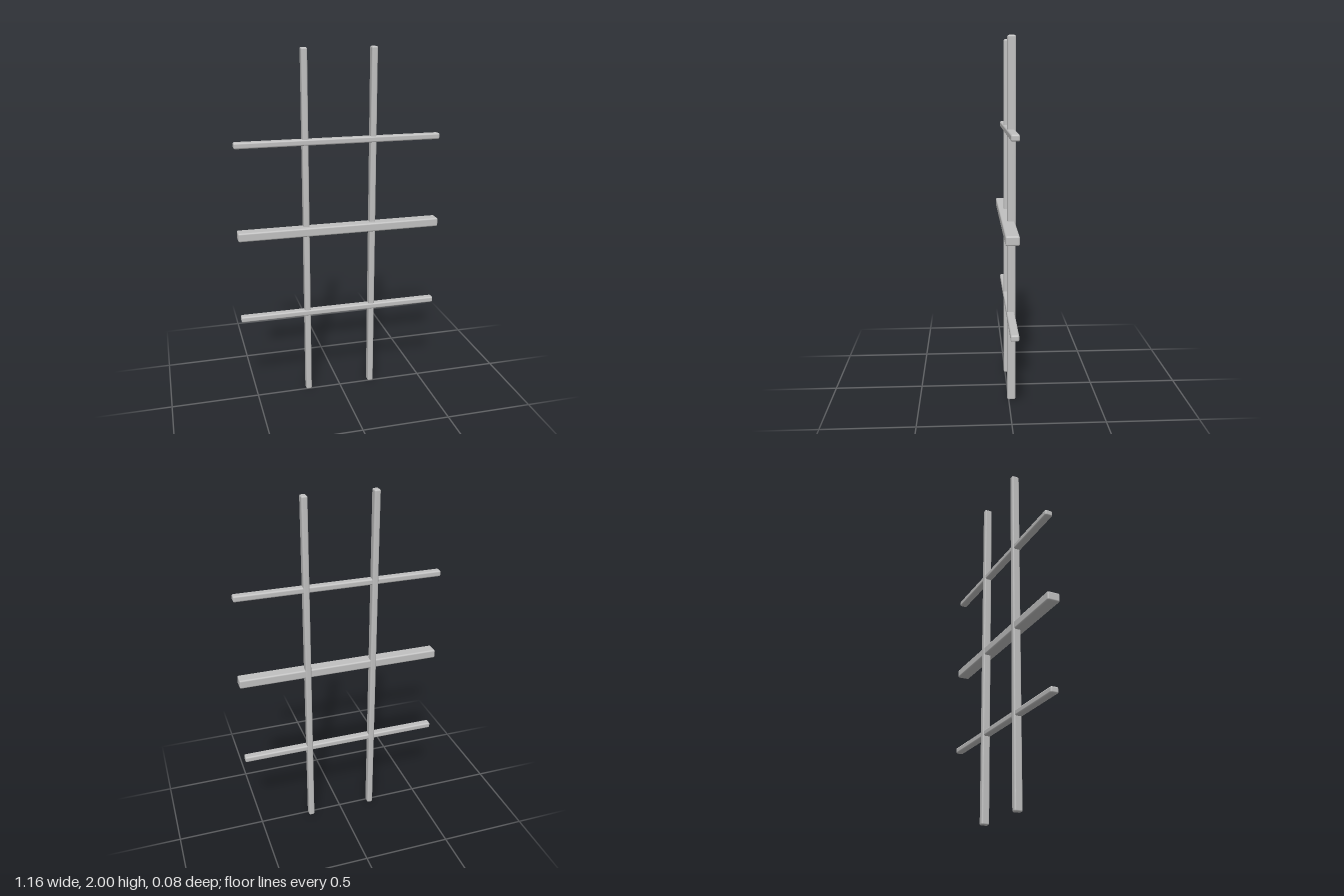
import * as THREE from 'three';
import { RoundedBoxGeometry } from 'three/addons/geometries/RoundedBoxGeometry.js';

export function createModel() {
  const model = new THREE.Group();
  model.name = 'barGrille';
  const steel = new THREE.MeshStandardMaterial({ color: 0xc0c0c0 });
  steel.name = 'light grey steel';

  // Square bar with softly rounded edges
  function bar(name, size, position) {
    const mesh = new THREE.Mesh(new RoundedBoxGeometry(...size, 3, 0.009), steel);
    mesh.name = name;
    mesh.position.set(...position);
    model.add(mesh);
  }

  // Two uprights at the back
  for (const side of [-1, 1]) {
    bar(side > 0 ? 'leftUpright' : 'rightUpright', [0.034, 2, 0.046], [side * 0.192, 1, -0.015]);
  }

  // Thin crossbars above and below
  bar('lowerCrossbar', [1.158, 0.034, 0.044], [0, 0.502, -0.01]);
  bar('upperCrossbar', [1.158, 0.034, 0.044], [0, 1.502, -0.01]);

  // Thick middle crossbar, standing proud at the front
  bar('middleCrossbar', [1.158, 0.05, 0.071], [0, 1.002, 0.0025]);

  return model;
}
